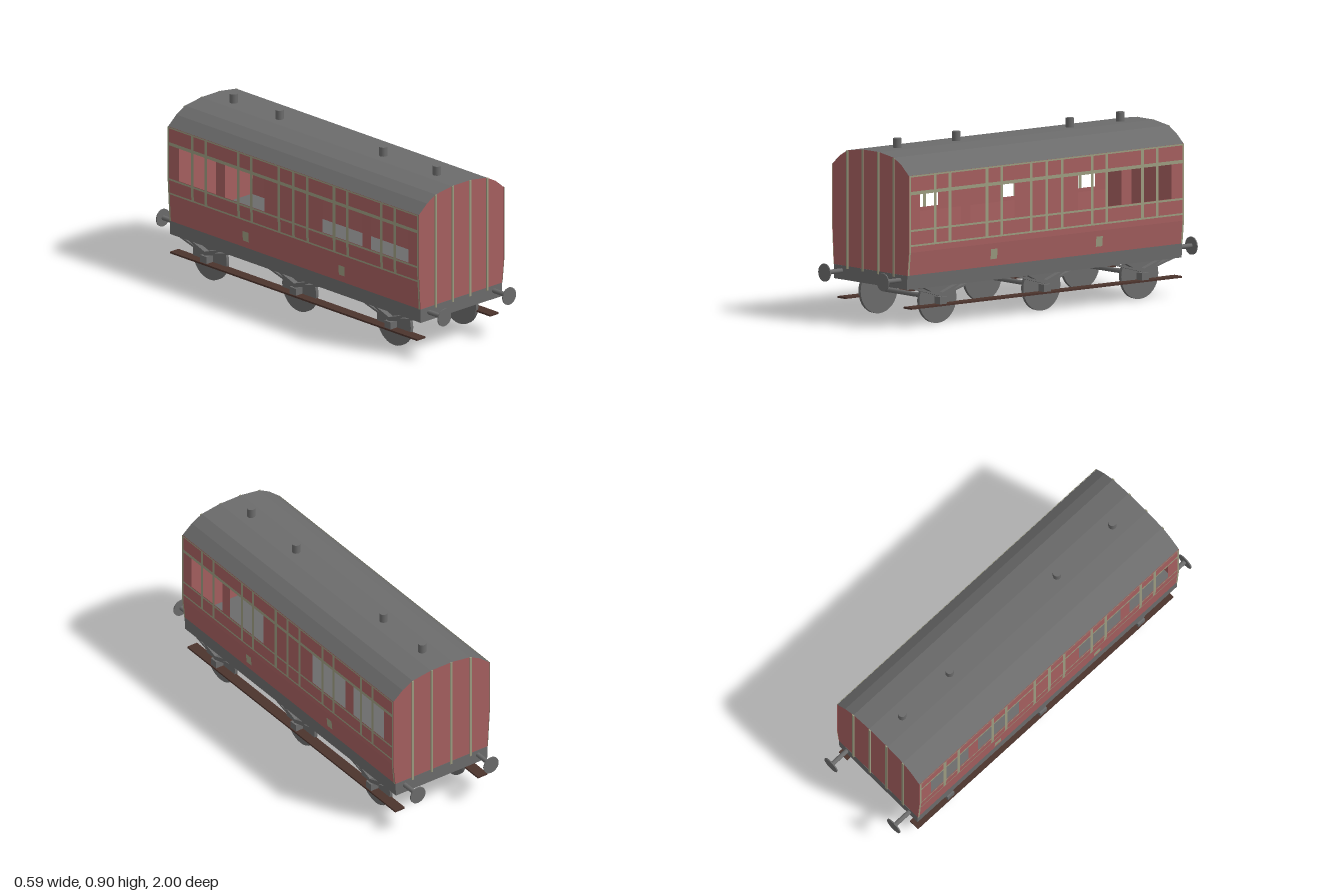
import * as THREE from 'three';

const HALF = 0.888; // half length of the body

export function createModel() {
  const model = new THREE.Group();
  const paint = (name, color, side = THREE.FrontSide) => {
    const m = new THREE.MeshStandardMaterial({ color, side });
    m.name = name;
    return m;
  };
  const red = paint('carriage red', 0xa55f5f, THREE.DoubleSide);
  const grey = paint('iron grey', 0x6b6b6b, THREE.DoubleSide);
  const cream = paint('lining cream', 0x9c9c80, THREE.DoubleSide);
  const brown = paint('footboard brown', 0x4c342d);

  const add = (name, geometry, material, x = 0, y = 0, z = 0) => {
    const mesh = new THREE.Mesh(geometry, material);
    mesh.name = name;
    mesh.position.set(x, y, z);
    model.add(mesh);
    return mesh;
  };
  const box = (name, mat, w, h, d, x, y, z) => add(name, new THREE.BoxGeometry(w, h, d), mat, x, y, z);
  const shapeOf = (pts) => new THREE.Shape(pts.map(([x, y]) => new THREE.Vector2(x, y)));
  const polygon = (name, pts, mat, z) => add(name, new THREE.ShapeGeometry(shapeOf(pts)), mat, 0, 0, z);

  // Open sheet: an x/y polyline swept along z
  const sheet = (name, pts, z0, z1, mat) => {
    const pos = [];
    for (let i = 0; i < pts.length - 1; i++) {
      const [a, b] = [pts[i], pts[i + 1]];
      pos.push(...a, z0, ...b, z0, ...b, z1, ...a, z0, ...b, z1, ...a, z1);
    }
    const g = new THREE.BufferGeometry();
    g.setAttribute('position', new THREE.Float32BufferAttribute(pos, 3));
    g.computeVertexNormals();
    return add(name, g, mat);
  };

  // Body section: each side tapers inward below its knee
  const knee = { '-1': 0.47, '1': 0.375 };
  const sideX = (s, y) => {
    const k = knee[s];
    return s * (0.291 - 0.012 * Math.max(0, (k - y) / (k - 0.26)));
  };
  const sidePoints = (s, y0, y1, out = 0) => {
    const ys = [y0, knee[s], y1].filter((y) => y >= y0 && y <= y1);
    return ys.map((y) => [sideX(s, y) + s * out, y]);
  };
  const roofHalf = [[0.291, 0.758], [0.235, 0.805], [0.175, 0.837], [0.065, 0.853]];
  const roofPoints = [...roofHalf, ...roofHalf.map(([x, y]) => [-x, y]).reverse()];

  // Roof and its lamp tops
  sheet('roof', roofPoints, -HALF, HALF, grey);
  for (const z of [0.715, 0.335, -0.4, -0.725]) {
    add('roofVent', new THREE.CylinderGeometry(0.021, 0.021, 0.06, 16), grey, 0, 0.87, z);
  }

  // Red end walls with cream strips
  const endPoints = [
    ...sidePoints(1, 0.26, 0.75), ...roofPoints, ...sidePoints(-1, 0.26, 0.75).reverse(),
  ];
  for (const e of [-1, 1]) {
    polygon('endWall', endPoints, red, e * (HALF - 0.001));
    for (const [x, top] of [[0.176, 0.836], [0.059, 0.853]]) {
      for (const s of [-1, 1]) {
        box('endStrip', cream, 0.012, top - 0.246, 0.005, s * x, (top + 0.246) / 2, e * (HALF + 0.002));
      }
    }
  }

  // Side walls with open windows and cream lining
  const windows = [[0.55, 0.815], [0.205, 0.49], [-0.485, -0.205], [-0.81, -0.55]];
  const mullions = [0.72, 0.625, 0.385, 0.29, 0.1, 0, -0.1, -0.295, -0.388, -0.62, -0.715];
  for (const s of [-1, 1]) {
    sheet('lowerSide', sidePoints(s, 0.26, 0.48), -HALF, HALF, red);
    const wall = shapeOf([[-HALF, 0.48], [HALF, 0.48], [HALF, 0.758], [-HALF, 0.758]]);
    for (const [a, b] of windows) {
      wall.holes.push(shapeOf([[a, 0.49], [a, 0.665], [b, 0.665], [b, 0.49]]));
    }
    const panel = add('windowWall', new THREE.ShapeGeometry(wall), red, s * 0.291);
    panel.rotation.y = -Math.PI / 2;

    const trim = (name, y0, y1, z0, z1) => sheet(name, sidePoints(s, y0, y1, 0.003), z0, z1, cream);
    for (const [y, h] of [[0.754, 0.008], [0.67, 0.017], [0.484, 0.01], [0.409, 0.009]]) {
      trim('sideRail', y - h / 2, y + h / 2, -HALF, HALF);
    }
    for (const z of mullions) trim('mullion', 0.405, 0.757, z - 0.009, z + 0.009);
    for (const e of [-1, 1]) trim('cornerStrip', 0.26, 0.757, e * HALF, e * (HALF - 0.01));
    for (const z of [0.335, -0.345]) trim('stepPlate', 0.295, 0.346, z - 0.021, z + 0.021);
  }

  // Underframe
  const frame = shapeOf([[-0.278, 0.19], [0.276, 0.19], [0.279, 0.26], [-0.279, 0.26]]);
  const frameGeometry = new THREE.ExtrudeGeometry(frame, { depth: 2 * HALF, bevelEnabled: false });
  add('underframe', frameGeometry, grey, 0, 0, -HALF);

  // Buffers
  for (const e of [-1, 1]) {
    for (const s of [-1, 1]) {
      const shaft = add('bufferShaft', new THREE.CylinderGeometry(0.012, 0.012, 0.11, 12), grey, s * 0.222, 0.233, e * 0.941);
      const head = add('bufferHead', new THREE.CylinderGeometry(0.045, 0.045, 0.006, 24), grey, s * 0.222, 0.233, e * 0.997);
      shaft.rotation.x = head.rotation.x = Math.PI / 2;
    }
  }

  // Leaf spring: a sagging V hung from the underframe, with an inner brace
  const springShape = shapeOf([
    [-0.2, 0.19], [0, 0.135], [0.2, 0.19], [0.165, 0.19], [0.03, 0.155], [-0.03, 0.155], [-0.165, 0.19],
  ]);
  const braceShape = shapeOf([
    [-0.12, 0.19], [-0.02, 0.14], [0.02, 0.14], [0.12, 0.19], [0.1, 0.19], [0, 0.155], [-0.1, 0.19],
  ]);
  const springs = [springShape, braceShape].map(
    (shape) => new THREE.ExtrudeGeometry(shape, { depth: 0.028, bevelEnabled: false }).translate(0, 0, -0.014),
  );

  // Wheelsets
  for (const z of [0.65, -0.022, -0.655]) {
    const axle = add('axle', new THREE.CylinderGeometry(0.012, 0.012, 0.366, 12), grey, 0, 0.124, z);
    axle.rotation.z = Math.PI / 2;
    for (const s of [-1, 1]) {
      const wheel = add('wheel', new THREE.CylinderGeometry(0.12, 0.12, 0.017, 32), grey, s * 0.223, 0.12, z);
      wheel.rotation.z = Math.PI / 2;
      box('axleBox', grey, 0.06, 0.042, 0.045, s * 0.245, 0.114, z);
      for (const g of springs) {
        add('leafSpring', g, grey, s * 0.253, 0, z).rotation.y = Math.PI / 2;
      }
    }
  }

  // Footboards
  for (const s of [-1, 1]) box('footboard', brown, 0.058, 0.009, 1.75, s * 0.251, 0.094, -0.012);

  return model;
}
